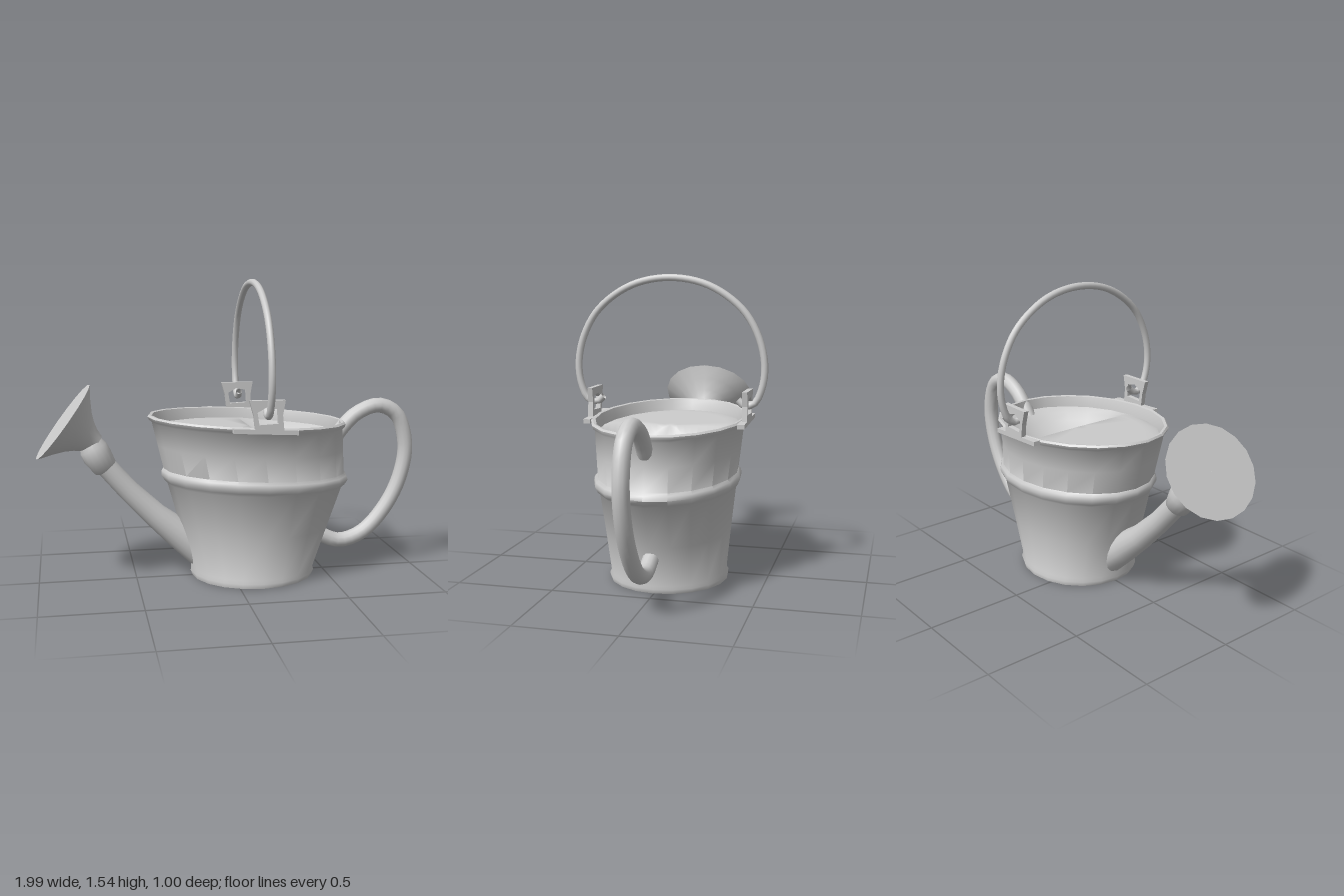
import * as THREE from 'three';
import { toCreasedNormals } from 'three/addons/utils/BufferGeometryUtils.js';

const V = (x, y, z = 0) => new THREE.Vector3(x, y, z);
const lerp = THREE.MathUtils.lerp;
const material = new THREE.MeshStandardMaterial({ color: 0xcccccc, side: THREE.DoubleSide });

function part(name, geometry) {
  const mesh = new THREE.Mesh(geometry, material);
  mesh.name = name;
  return mesh;
}

// Skin a list of closed rings that all have the same number of points
function loft(rings, crease = 0.9) {
  const n = rings[0].length, index = [];
  for (let i = 0; i < rings.length - 1; i++) {
    for (let j = 0; j < n; j++) {
      const a = i * n + j, b = i * n + (j + 1) % n;
      index.push(a, a + n, b, b, a + n, b + n);
    }
  }
  const g = new THREE.BufferGeometry().setFromPoints(rings.flat());
  g.setIndex(index);
  return toCreasedNormals(g, crease);
}

// Round section of varying radius along stations [x, y, radius, widthScale]
function sweep(stations, sides = 16) {
  const rings = stations.map(([x, y, r, w = 1], i) => {
    const p = stations[Math.max(i - 1, 0)], q = stations[Math.min(i + 1, stations.length - 1)];
    const t = V(q[0] - p[0], q[1] - p[1]).normalize();
    return Array.from({ length: sides }, (_, j) => {
      const a = (j / sides) * Math.PI * 2, c = Math.cos(a) * r;
      return V(x + t.y * c, y - t.x * c, Math.sin(a) * r * w);
    });
  });
  return rings;
}

const tube = (points, r, segments, sides) =>
  new THREE.TubeGeometry(new THREE.CatmullRomCurve3(points), segments, r, sides);

// Tilted oval sections of the can: base, middle band, rim
const SECTIONS = [
  { xl: -0.195, yl: 0, xr: 0.42, yr: 0, rz: 0.29 },
  { xl: -0.345, yl: 0.545, xr: 0.605, yr: 0.505, rz: 0.347 },
  { xl: -0.42, yl: 0.86, xr: 0.59, yr: 0.81, rz: 0.378 },
];
const SIDES = 20;

function ovalRing(t, out) {
  const i = Math.min(Math.floor(t), 1), A = SECTIONS[i], B = SECTIONS[i + 1];
  const s = {};
  for (const k in A) s[k] = lerp(A[k], B[k], t - i);
  const cx = (s.xl + s.xr) / 2, rx = (s.xr - s.xl) / 2 + out;
  return Array.from({ length: SIDES }, (_, j) => {
    const a = (j / SIDES) * Math.PI * 2, c = Math.cos(a);
    return V(cx + rx * c, lerp(s.yl, s.yr, (c + 1) / 2), (s.rz + out) * Math.sin(a));
  });
}

function createBody() {
  // [height parameter, outward offset]: foot bead, middle bead, rolled rim
  const profile = [[0, 0], [0.005, 0.011], [0.05, 0.013], [0.08, 0.002], [0.5, 0], [0.92, 0],
    [0.95, 0.012], [1, 0.02], [1.07, 0.014], [1.11, 0], [1.5, 0], [1.88, 0],
    [1.92, 0.012], [1.97, 0.016], [2, 0.006], [1.99, -0.008], [1.9, -0.014], [1.8, -0.016]];
  return part('body', loft(profile.map(([t, o]) => ovalRing(t, o))));
}

// Half cover on the spout side, falling into a hollow on the handle side
function createCover() {
  const edge = ovalRing(1.8, -0.016), rings = [], cx = 0.1, steps = 10;
  for (let i = 0; i <= steps; i++) {
    const r = 1 - i / steps;
    rings.push(edge.map((p) => {
      const x = lerp(cx, p.x, r);
      const step = THREE.MathUtils.smoothstep(x, cx, cx + 0.1);
      return V(x, 0.785 - 0.04 * (x - cx) - 0.2 * step * (1 - r * r), p.z * r);
    }));
  }
  rings[0] = edge;
  return part('cover', loft(rings, 1.2));
}

function createSpout() {
  const group = new THREE.Group();
  group.name = 'spout';
  const pipe = sweep([[-0.16, 0.135, 0.09], [-0.27, 0.225, 0.08], [-0.4, 0.335, 0.064],
    [-0.53, 0.465, 0.056], [-0.6, 0.545, 0.054], [-0.68, 0.64, 0.054]]);
  group.add(part('spoutPipe', loft(pipe)));
  const collar = sweep([[-0.645, 0.585, 0.05], [-0.65, 0.592, 0.062], [-0.69, 0.655, 0.074],
    [-0.71, 0.695, 0.072], [-0.73, 0.74, 0.05]]);
  group.add(part('spoutCollar', loft(collar)));
  // Flared sprinkler head: [distance along axis, radius, width scale]
  const flare = [[-0.01, 0.052, 1], [0.03, 0.068, 1], [0.065, 0.09, 1.03], [0.1, 0.12, 1.06],
    [0.145, 0.17, 1.1], [0.192, 0.23, 1.13], [0.193, 0.001, 1]];
  const head = sweep(flare.map(([d, r, w]) => [-0.705 - 0.8 * d, 0.72 + 0.6 * d, r, w]), 18);
  group.add(part('sprinklerHead', loft(head, 0.8)));
  return group;
}

function createSideHandle() {
  const points = [[0.56, 0.71], [0.6, 0.765], [0.68, 0.84], [0.8, 0.88], [0.9, 0.83], [0.952, 0.67],
    [0.93, 0.5], [0.85, 0.33], [0.72, 0.19], [0.59, 0.15], [0.47, 0.195]];
  return part('sideHandle', tube(points.map(([x, y]) => V(x, y)), 0.04, 36, 12));
}

// Hooked wire hoop over the opening
function createBail() {
  const half = [[0.35, 0.925], [0.385, 0.895], [0.432, 0.908], [0.468, 0.98], [0.482, 1.09],
    [0.453, 1.23], [0.37, 1.37], [0.2, 1.488]];
  const points = [...half, [0, 1.526], ...half.slice().reverse().map(([z, y]) => [-z, y])];
  return part('bail', tube(points.map(([z, y]) => V(0.11, y, z)), 0.018, 60, 10));
}

// Pierced ear and its foot strip, on side s
function createEar(s) {
  const group = new THREE.Group();
  group.name = s > 0 ? 'frontEar' : 'backEar';
  const shape = new THREE.Shape([[-0.062, 0.82], [0.078, 0.82], [0.07, 0.9], [0.083, 0.973],
    [-0.093, 0.973], [-0.072, 0.9]].map(([x, y]) => new THREE.Vector2(x, y)));
  shape.holes.push(new THREE.Path([[-0.045, 0.855], [-0.055, 0.915], [-0.01, 0.94],
    [0.045, 0.93], [0.05, 0.86]].map(([x, y]) => new THREE.Vector2(x, y))));
  const plate = part('earPlate', new THREE.ExtrudeGeometry(shape, { depth: 0.026, bevelEnabled: false }));
  plate.position.set(0.11, 0, s * 0.397 - 0.013);
  const strip = part('earStrip', new THREE.BoxGeometry(0.32, 0.022, 0.036));
  strip.position.set(0.1, 0.82, s * 0.392);
  strip.rotation.z = -0.05;
  group.add(plate, strip);
  return group;
}

export function createModel() {
  const model = new THREE.Group();
  model.name = 'wateringCan';
  model.add(createBody(), createCover(), createSpout(), createSideHandle(), createBail());
  for (const s of [1, -1]) model.add(createEar(s));
  return model;
}
